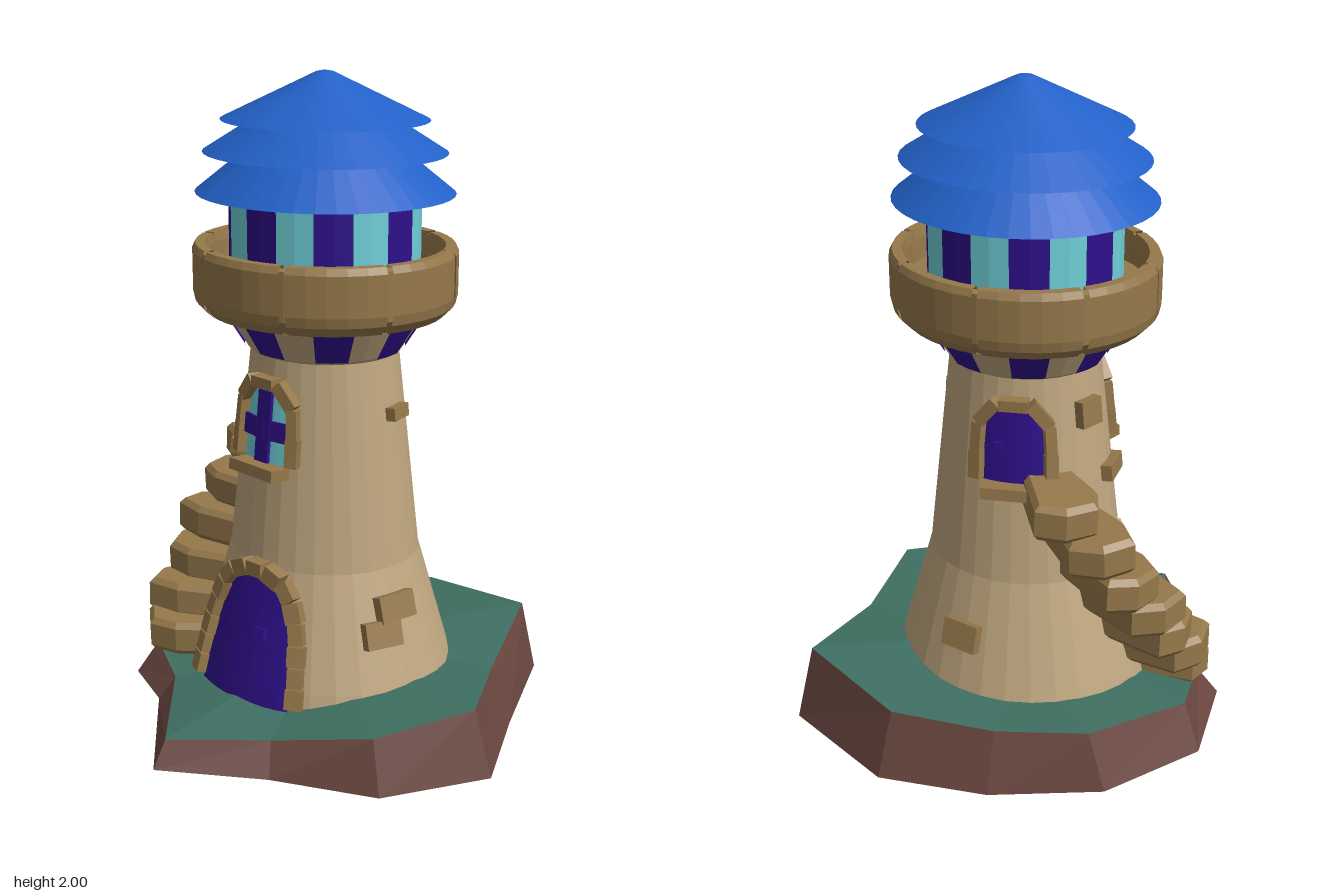
import * as THREE from 'three';

const mat = (color) => new THREE.MeshStandardMaterial({ color, flatShading: true, side: THREE.DoubleSide });
const wallMat = mat(0xbfa67f), stoneMat = mat(0x96794b), purple = mat(0x2e0f8a), glass = mat(0x6fd0d8);
const roofMat = mat(0x2361c8), grass = mat(0x3f6f62), earth = mat(0x6b4740);

// Tower wall profile: [radius, height]
const WALL = [[0.42, 0.14], [0.405, 0.2], [0.302, 0.55], [0.23, 1.19]];
const UP = new THREE.Vector3(0, 1, 0);

function radiusAt(y) {
  let i = 0;
  while (i < WALL.length - 2 && y > WALL[i + 1][1]) i++;
  const [r0, y0] = WALL[i], [r1, y1] = WALL[i + 1];
  return r0 + (r1 - r0) * (y - y0) / (y1 - y0);
}
// Point on the wall in front of the axis, pushed out by off
function onWall(x, y, off = 0) {
  const r = radiusAt(y) + off;
  return new THREE.Vector3(x, y, Math.sqrt(r * r - x * x));
}

function add(parent, name, geometry, material) {
  const mesh = new THREE.Mesh(geometry, material);
  mesh.name = name;
  parent.add(mesh);
  return mesh;
}
function group(parent, name, azimuth = 0) {
  const g = new THREE.Group();
  g.name = name;
  g.rotation.y = THREE.MathUtils.degToRad(azimuth);
  parent.add(g);
  return g;
}
function lathe(parent, name, profile, material, segments = 32, start = 0, length = Math.PI * 2) {
  const pts = profile.map(([r, y]) => new THREE.Vector2(r, y));
  return add(parent, name, new THREE.LatheGeometry(pts, segments, start, length), material);
}

// Box lying on the wall, leaning with its slope
function block(parent, name, x, y, w, h, d, material = stoneMat, off = 0) {
  const m = add(parent, name, new THREE.BoxGeometry(w, h, d), material);
  const p = onWall(x, y, off);
  m.position.copy(p);
  const lean = Math.atan((radiusAt(y - 0.02) - radiusAt(y + 0.02)) / 0.04);
  m.rotation.set(-lean, Math.atan2(p.x, p.z), 0, 'YXZ');
  return m;
}

// Arched panel that follows the curved wall
function archPanel(parent, name, w, y0, y1, spring, off, material) {
  const geo = new THREE.PlaneGeometry(2, 1, 10, 14), pos = geo.attributes.position;
  for (let i = 0; i < pos.count; i++) {
    const v = pos.getY(i) + 0.5, k = Math.max(0, (v - spring) / (1 - spring));
    const half = w * (1 - 0.1 * v) * Math.sqrt(Math.max(0, 1 - k * k * k));
    const p = onWall(pos.getX(i) * half, y0 + v * (y1 - y0), off);
    pos.setXYZ(i, p.x, p.y, p.z);
  }
  geo.computeVertexNormals();
  return add(parent, name, geo, material);
}

// Row of stones along an arch, given its right half from bottom to crown
function archStones(parent, name, half, count, width, depth, fill) {
  const left = half.slice(0, -1).map(([x, y]) => [-x, y]);
  const path = [...left, ...half.slice().reverse()].map(([x, y]) => onWall(x, y, 0.012));
  const curve = new THREE.CatmullRomCurve3(path);
  const length = curve.getLength() / count;
  for (let i = 0; i < count; i++) {
    const u = (i + 0.5) / count, p = curve.getPointAt(u), t = curve.getTangentAt(u);
    const out = new THREE.Vector3(p.x, 0, p.z).normalize();
    const side = new THREE.Vector3().crossVectors(out, t).normalize();
    out.crossVectors(t, side);
    const size = width * (i % 2 ? 1 : 1.15);
    const m = add(parent, name, new THREE.BoxGeometry(length * fill, size, depth), stoneMat);
    m.quaternion.setFromRotationMatrix(new THREE.Matrix4().makeBasis(t, side, out));
    m.position.copy(p);
  }
}

function rockBase(parent) {
  // Corners, clockwise from the back: bottom x, z, then top x, y, z
  const corners = [
    [-0.06, -0.7, -0.06, 0.21, -0.64], [0.36, -0.67, 0.335, 0.24, -0.62], [0.53, -0.29, 0.47, 0.185, -0.27],
    [0.69, 0.03, 0.625, 0.21, 0.03], [0.53, 0.35, 0.485, 0.185, 0.325], [0.24, 0.5, 0.205, 0.13, 0.455],
    [-0.035, 0.7, -0.035, 0.125, 0.65], [-0.35, 0.39, -0.325, 0.11, 0.34], [-0.54, 0.31, -0.5, 0.145, 0.25],
    [-0.69, 0.03, -0.63, 0.185, 0.03], [-0.605, -0.3, -0.54, 0.2, -0.3], [-0.36, -0.54, -0.335, 0.2, -0.485]];
  const bottom = corners.map(([x, z]) => [x, Math.max(0, 0.024 - 0.022 * x + 0.03 * z), z]);
  const top = corners.map((c) => c.slice(2));
  const soil = [], turf = [];
  corners.forEach((_, i) => {
    const j = (i + 1) % corners.length;
    soil.push(bottom[j], bottom[i], top[i], bottom[j], top[i], top[j], [0, 0.024, 0], bottom[i], bottom[j]);
    turf.push([-0.027, 0.2, -0.04], top[j], top[i]);
  });
  for (const [name, pts, m] of [['rockBase', soil, earth], ['grassTop', turf, grass]]) {
    const geo = new THREE.BufferGeometry();
    geo.setAttribute('position', new THREE.Float32BufferAttribute(pts.flat(), 3));
    geo.computeVertexNormals();
    add(parent, name, geo, m);
  }
}

function windowFrame(parent) {
  archStones(parent, 'windowFrameStone', [[0.11, 0.875], [0.107, 0.96], [0.095, 1.05], [0.055, 1.1], [0, 1.112]], 7, 0.034, 0.05, 1.02);
  block(parent, 'windowSill', 0, 0.85, 0.185, 0.035, 0.09, stoneMat, 0.015);
}

// Steps winding up around the right side of the tower
function stairs(parent) {
  const steps = group(parent, 'stairs');
  const tops = [0.26, 0.35, 0.45, 0.56, 0.67, 0.79, 0.895];
  const reach = [0.6, 0.6, 0.585, 0.585, 0.575, 0.55, 0.5];
  tops.forEach((y, i) => {
    const r = reach[i], s = i % 2 ? 0.01 : -0.01;
    const shape = new THREE.Shape([[-0.06, 0.22], [0.06, 0.22], [0.095, r - 0.12], [0.07, r - 0.03 + s], [-0.02, r - 0.015], [-0.09, r - 0.06 - s]]
      .map(([x, z]) => new THREE.Vector2(x, z)));
    const geo = new THREE.ExtrudeGeometry(shape, { depth: 0.075, bevelThickness: 0.018, bevelSize: 0.015, bevelSegments: 1 });
    geo.rotateX(Math.PI / 2);
    const m = add(group(steps, 'stepPivot', 302 - i * 10.5), 'step', geo, stoneMat);
    m.position.y = y - 0.018;
    m.rotation.z = s * 4;
  });
}

export function createModel() {
  const model = new THREE.Group();
  model.name = 'lighthouse';
  rockBase(model);

  const tower = group(model, 'tower');
  tower.position.set(-0.027, 0, -0.04);
  tower.scale.z = 0.94;
  lathe(tower, 'wall', WALL, wallMat);

  // Flared support and lantern room, with alternating panels
  lathe(tower, 'flare', [[0.23, 1.18], [0.242, 1.19], [0.315, 1.305]], wallMat);
  const step = Math.PI / 8;
  for (let i = 0; i < 16; i++) {
    const start = (i - 0.5) * step;
    lathe(tower, i % 2 ? 'lanternGlass' : 'lanternPost', [[0.293, 1.38], [0.293, 1.66]], i % 2 ? glass : purple, 2, start, step);
    if (i % 2 === 0) lathe(tower, 'flarePanel', [[0.249, 1.19], [0.322, 1.305]], purple, 2, start, step);
  }

  // Gallery parapet with eight stone blocks
  lathe(tower, 'galleryCore', [[0.24, 1.302], [0.362, 1.302], [0.394, 1.34], [0.394, 1.485], [0.37, 1.49], [0.365, 1.4], [0.28, 1.4]], stoneMat);
  for (let i = 0; i < 8; i++) {
    lathe(tower, 'galleryBlock', [[0.34, 1.298], [0.37, 1.3], [0.4, 1.33], [0.407, 1.36], [0.407, 1.48], [0.397, 1.5], [0.367, 1.5], [0.36, 1.47]],
      stoneMat, 5, (i - 0.5) * step * 2 + 0.022, step * 2 - 0.044);
  }

  // Three-tiered roof
  const roof = group(tower, 'roof');
  lathe(roof, 'roofTierLow', [[0, 1.65], [0.395, 1.65], [0.235, 1.775]], roofMat, 40);
  lathe(roof, 'roofTierMiddle', [[0, 1.767], [0.37, 1.767], [0.21, 1.865]], roofMat, 40);
  lathe(roof, 'roofTierTop', [[0, 1.86], [0.315, 1.86], [0.025, 1.996], [0, 2]], roofMat, 40);

  // Door with stone arch
  const door = group(tower, 'door');
  archPanel(door, 'doorPanel', 0.178, 0.15, 0.525, 0.3, 0.012, purple);
  archStones(door, 'doorArchStone', [[0.195, 0.16], [0.182, 0.27], [0.158, 0.4], [0.105, 0.505], [0, 0.547]], 15, 0.046, 0.06, 0.94);
  block(door, 'doorHandle', 0.055, 0.362, 0.04, 0.035, 0.03, purple, 0.02);

  // Front window with cross bars
  const front = group(tower, 'frontWindow', -4);
  archPanel(front, 'windowGlass', 0.097, 0.87, 1.105, 0.5, 0.008, glass);
  block(front, 'windowBarUpright', 0, 0.985, 0.055, 0.23, 0.012, purple, 0.012);
  for (const x of [-0.045, 0.045]) block(front, 'windowBarAcross', x, 0.97, 0.095, 0.06, 0.012, purple, 0.01);
  windowFrame(front);

  // Upper door at the head of the stairs
  const back = group(tower, 'upperDoor', 215);
  archPanel(back, 'upperDoorPanel', 0.097, 0.87, 1.105, 0.5, 0.008, purple);
  block(back, 'upperDoorHandle', -0.045, 0.98, 0.025, 0.025, 0.02, purple, 0.015);
  windowFrame(back);

  stairs(tower);

  // Loose bricks standing out of the wall: azimuth, height, width, height of brick
  const bricks = [[98, 1.015, 0.085, 0.04], [69, 0.37, 0.125, 0.08], [79, 0.44, 0.135, 0.08], [190, 0.37, 0.12, 0.085],
    [287, 0.36, 0.1, 0.09], [270, 1.06, 0.085, 0.08], [295, 0.845, 0.12, 0.05]];
  for (const [azimuth, y, w, h] of bricks) block(group(tower, 'brickPivot', azimuth), 'brick', 0, y, w, h, 0.045, stoneMat, 0.005);
  return model;
}
